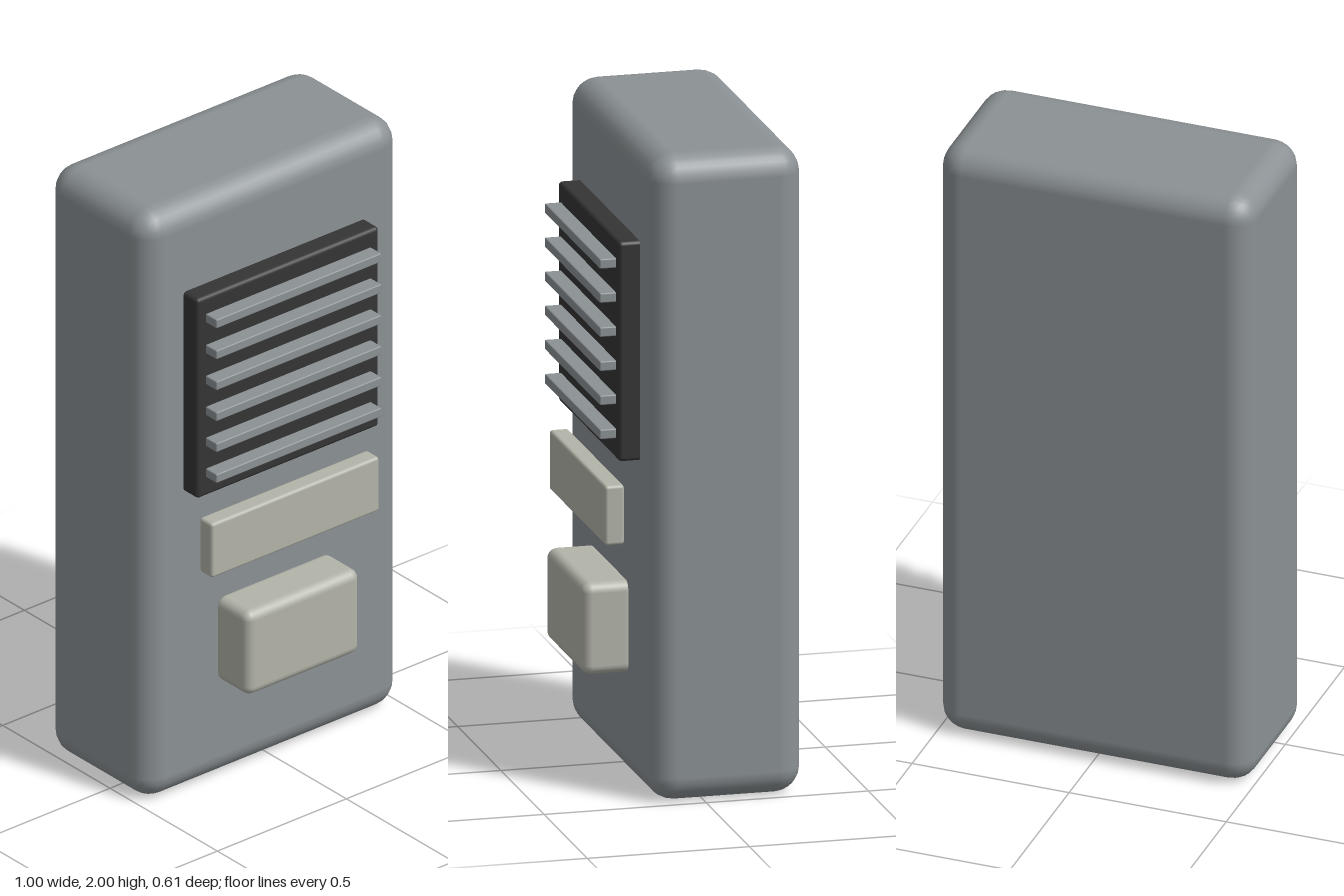
import * as THREE from 'three';
import { RoundedBoxGeometry } from 'three/addons/geometries/RoundedBoxGeometry.js';

function material(name, color) {
  const m = new THREE.MeshStandardMaterial({ color });
  m.name = name;
  return m;
}

export function createModel() {
  const group = new THREE.Group();
  group.name = 'doorIntercom';

  const casingGray = material('casing gray', 0x8b9194);
  const grilleBlack = material('grille black', 0x343434);
  const buttonCream = material('button cream', 0xb3b4a9);

  // Rounded block given by its extents in y and z, centred on x
  function block(name, mat, width, y0, y1, z0, z1, radius, segments) {
    const geometry = new RoundedBoxGeometry(width, y1 - y0, z1 - z0, segments, radius);
    const mesh = new THREE.Mesh(geometry, mat);
    mesh.name = name;
    mesh.position.set(0, (y0 + y1) / 2, (z0 + z1) / 2);
    group.add(mesh);
  }

  // Casing
  block('casing', casingGray, 1, 0, 2, -0.305, 0.165, 0.08, 3);

  // Speaker panel with six slats standing on it
  block('speakerPanel', grilleBlack, 0.705, 1.03, 1.71, 0.145, 0.23, 0.012, 2);
  for (let i = 0; i < 6; i++) {
    const y = 1.11 + i * 0.1055;
    block(`speakerSlat${i + 1}`, casingGray, 0.64, y - 0.015, y + 0.015, 0.228, 0.28, 0.004, 2);
  }

  // Name plate, held just in front of the casing
  block('namePlate', buttonCream, 0.65, 0.765, 0.95, 0.205, 0.265, 0.01, 2);

  // Call button
  block('callButton', buttonCream, 0.44, 0.335, 0.62, 0.145, 0.305, 0.03, 3);

  return group;
}
